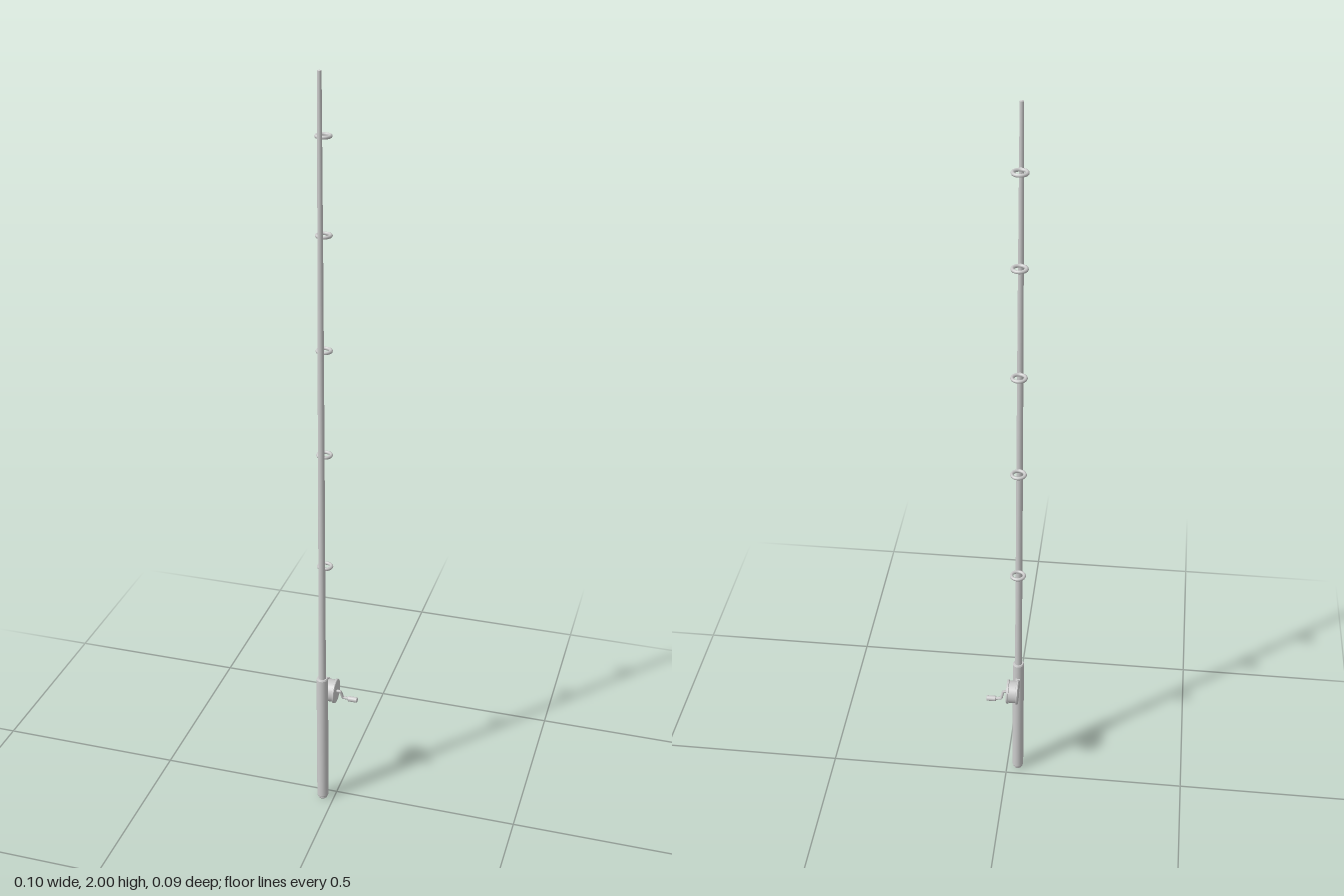
import * as THREE from 'three';

const ROD_X = -0.031, ROD_Z = 0.031;
const REEL_Y = 0.326, REEL_Z = -0.0145;

export function createModel() {
  const group = new THREE.Group();
  const mat = new THREE.MeshStandardMaterial({ color: 0xcccccc });

  const add = (name, geometry, x, y, z) => {
    const mesh = new THREE.Mesh(geometry, mat);
    mesh.name = name;
    mesh.position.set(x, y, z);
    group.add(mesh);
    return mesh;
  };
  const lathe = (points, sides = 20) =>
    new THREE.LatheGeometry(points.map(([r, y]) => new THREE.Vector2(r, y)), sides);
  // Profile points are repeated to keep hard edges
  const hard = (points) => points.flatMap((p) => [p, p]);

  // Grip with a crisp top edge and a butt cap
  add('grip', lathe(hard([[0, 0.008], [0.0145, 0.008], [0.0155, 0.011], [0.0155, 0.389], [0.0135, 0.393], [0, 0.393]])), ROD_X, 0, ROD_Z);
  add('buttCap', lathe(hard([[0, 0], [0.011, 0], [0.0135, 0.004], [0.0135, 0.012], [0, 0.012]])), ROD_X, 0, ROD_Z);

  // Tapering rod
  add('rod', lathe([[0.0105, 0.38], [0.0092, 0.56], [0.0085, 1.0], [0.0072, 1.5], [0.005, 1.998], [0.005, 1.998], [0, 2]], 14), ROD_X, 0, ROD_Z);

  // Line guides, each a ring on a small foot
  for (const y of [0.72, 1.04, 1.32, 1.61, 1.845]) {
    const ring = add('lineGuide', new THREE.TorusGeometry(0.0168, 0.0045, 8, 24), ROD_X, y, 0.002);
    ring.rotation.x = Math.PI / 2;
    add('guideFoot', new THREE.BoxGeometry(0.005, 0.006, 0.008), ROD_X, y, 0.0245);
  }

  // Reel spool: two flanges around a drum, turned along x
  const spool = add('reelSpool', lathe(hard([
    [0, -0.016], [0.032, -0.016], [0.0335, -0.0145], [0.0335, -0.0105], [0.0305, -0.0095],
    [0.0305, 0.0095], [0.0335, 0.0105], [0.0335, 0.0145], [0.032, 0.016], [0, 0.016],
  ]), 28), -0.02, REEL_Y, REEL_Z);
  spool.rotation.z = -Math.PI / 2;
  add('reelFoot', new THREE.BoxGeometry(0.012, 0.044, 0.014), ROD_X, REEL_Y, 0.014);

  // Cranked arm
  const path = new THREE.CurvePath();
  const pts = [[-0.006, REEL_Y, REEL_Z], [0.006, REEL_Y, -0.016], [0.011, 0.305, -0.02], [0.028, 0.303, -0.0215]]
    .map((p) => new THREE.Vector3(...p));
  for (let i = 0; i < pts.length - 1; i++) path.add(new THREE.LineCurve3(pts[i], pts[i + 1]));
  add('crankArm', new THREE.TubeGeometry(path, 24, 0.004, 8), 0, 0, 0);

  // Crank knob
  const knob = add('crankKnob', lathe(hard([
    [0, -0.0135], [0.0055, -0.0135], [0.0075, -0.0115], [0.0075, 0.0115], [0.0055, 0.0135], [0, 0.0135],
  ]), 16), 0.0385, 0.303, -0.0215);
  knob.rotation.z = -Math.PI / 2;

  return group;
}
